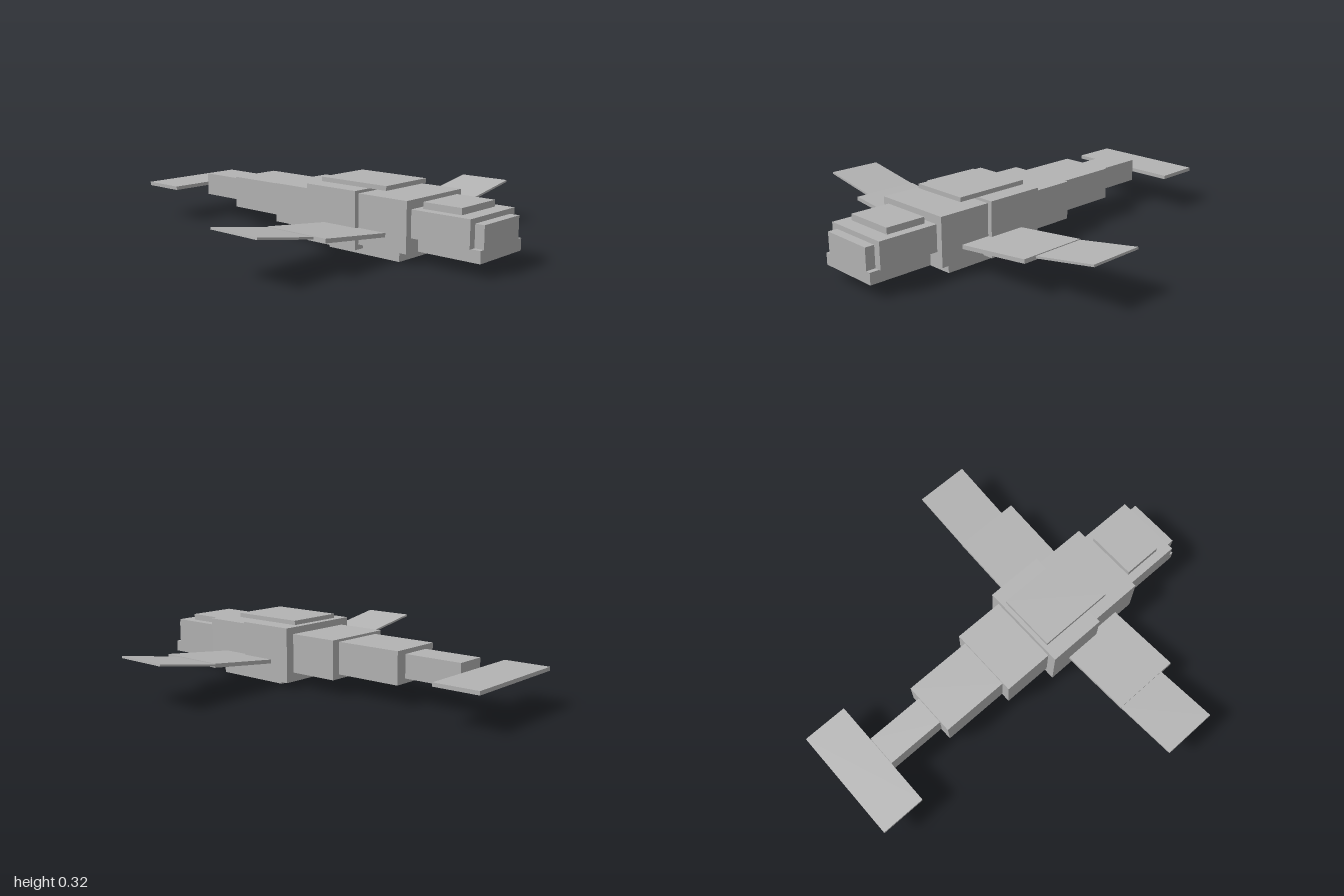
import * as THREE from 'three';

export function createModel() {
  const model = new THREE.Group();
  model.name = 'blockyFlyer';
  const grey = new THREE.MeshStandardMaterial({ color: 0xb3b3b3 });
  grey.name = 'grey';

  // Box centred on x, given by half width and its y and z ranges
  function block(name, halfWidth, y0, y1, z0, z1) {
    const mesh = new THREE.Mesh(new THREE.BoxGeometry(halfWidth * 2, y1 - y0, z1 - z0), grey);
    mesh.name = name;
    mesh.position.set(0, (y0 + y1) / 2, (z0 + z1) / 2);
    model.add(mesh);
  }

  // Head
  block('crown', 0.125, 0.24, 0.27, 0.69, 0.885);
  block('head', 0.168, 0.115, 0.24, 0.66, 0.955);
  block('snout', 0.133, 0.115, 0.217, 0.955, 1.0);
  block('jaw', 0.157, 0.06, 0.115, 0.69, 1.0);

  // Body
  block('chest', 0.2, 0.05, 0.28, 0.395, 0.66);
  block('hips', 0.223, 0.027, 0.293, 0.105, 0.395);
  block('backPlate', 0.145, 0.297, 0.318, 0.125, 0.505);
  block('bellyPlate', 0.168, 0, 0.05, 0.195, 0.6);

  // Tapering tail and fluke
  block('tailBase', 0.178, 0.072, 0.26, -0.147, 0.105);
  block('tailMiddle', 0.135, 0.093, 0.248, -0.485, -0.147);
  block('tailEnd', 0.077, 0.115, 0.227, -0.775, -0.485);
  block('tailFluke', 0.29, 0.164, 0.182, -1.0, -0.775);

  // Sloped wing panel between two centre points (x, y), mirrored by side
  function wingPanel(name, side, x0, y0, x1, y1, thickness, z0, z1) {
    const length = Math.hypot(x1 - x0, y1 - y0);
    const mesh = new THREE.Mesh(new THREE.BoxGeometry(length, thickness, z1 - z0), grey);
    mesh.name = name;
    mesh.position.set(side * (x0 + x1) / 2, (y0 + y1) / 2, (z0 + z1) / 2);
    mesh.rotation.z = side * Math.atan2(y1 - y0, x1 - x0);
    model.add(mesh);
  }
  for (const [label, side] of [['left', 1], ['right', -1]]) {
    wingPanel(label + 'InnerWing', side, 0.17, 0.113, 0.58, 0.157, 0.019, 0.212, 0.547);
    wingPanel(label + 'OuterWing', side, 0.575, 0.157, 0.89, 0.21, 0.01, 0.212, 0.482);
  }
  return model;
}
